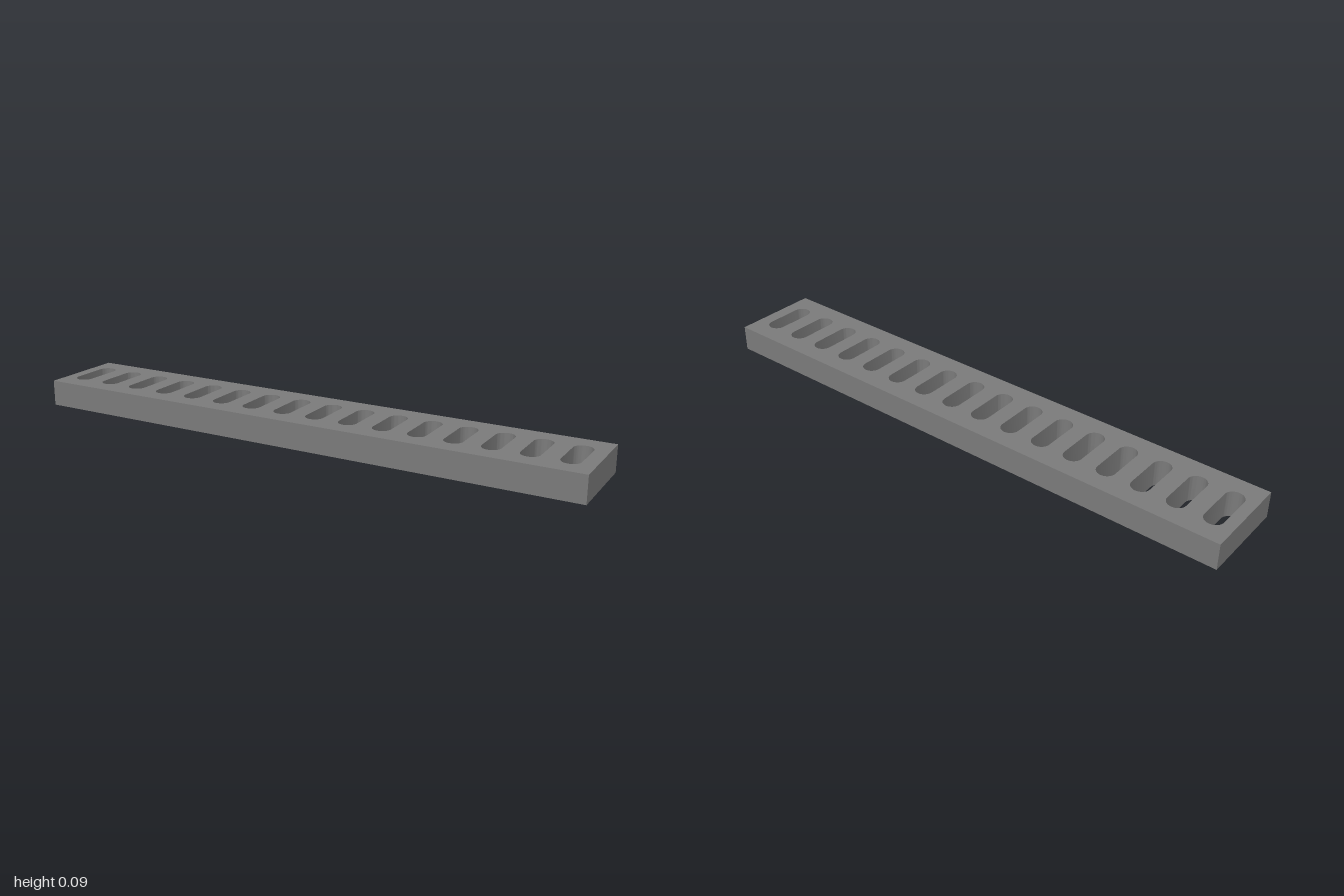
import * as THREE from 'three';
import { toCreasedNormals } from 'three/addons/utils/BufferGeometryUtils.js';

const LENGTH = 2, DEPTH = 0.31, HEIGHT = 0.092;
const SLOTS = 16, PITCH = 0.1233, OFFSET = -0.004;
const RADIUS = 0.032, HALF_SLOT = 0.0925;

// Rounded slot outline centred on x
function slotPath(x) {
  const s = HALF_SLOT - RADIUS;
  const path = new THREE.Path();
  path.moveTo(x + RADIUS, -s);
  path.lineTo(x + RADIUS, s);
  path.absarc(x, s, RADIUS, 0, Math.PI, false);
  path.lineTo(x - RADIUS, -s);
  path.absarc(x, -s, RADIUS, Math.PI, Math.PI * 2, false);
  return path;
}

export function createModel() {
  const group = new THREE.Group();
  group.name = 'slottedBar';

  // Rectangular bar outline
  const w = LENGTH / 2, d = DEPTH / 2;
  const outline = new THREE.Shape([
    new THREE.Vector2(-w, -d), new THREE.Vector2(w, -d),
    new THREE.Vector2(w, d), new THREE.Vector2(-w, d),
  ]);

  // Evenly spaced row of through slots
  for (let i = 0; i < SLOTS; i++) {
    outline.holes.push(slotPath(OFFSET + (i - (SLOTS - 1) / 2) * PITCH));
  }

  // Extrude and lay flat, keeping the slot ends smooth and the edges sharp
  const extruded = new THREE.ExtrudeGeometry(outline, {
    depth: HEIGHT, bevelEnabled: false, curveSegments: 16,
  });
  extruded.rotateX(-Math.PI / 2);
  const bar = new THREE.Mesh(
    toCreasedNormals(extruded, 0.5),
    new THREE.MeshStandardMaterial({ color: 0x7a7a7a }),
  );
  bar.name = 'bar';
  group.add(bar);
  return group;
}
